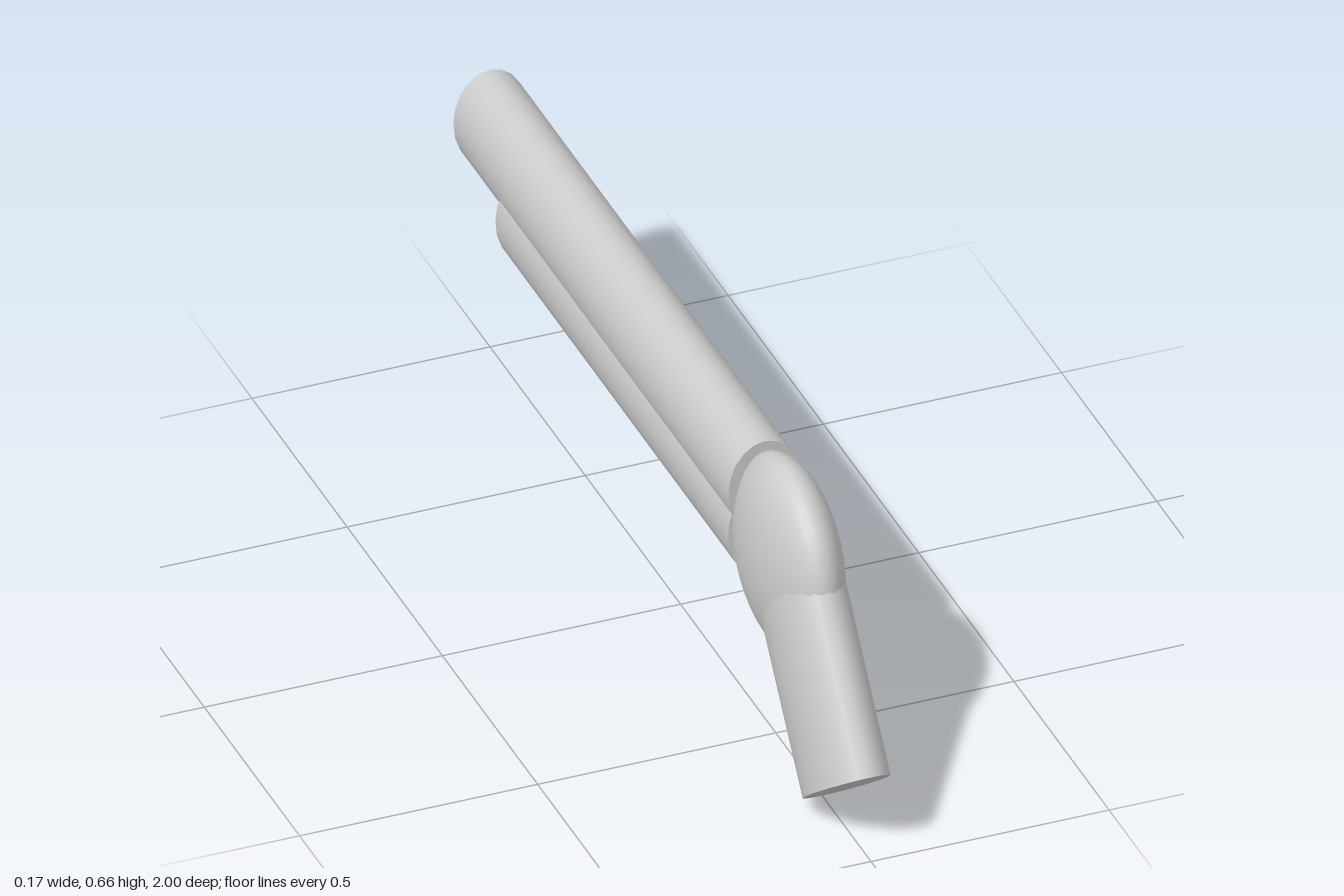
import * as THREE from 'three';

const material = new THREE.MeshStandardMaterial({ color: 0xcccccc });

// Elliptical rod running along a direction in the YZ plane.
// start and end are [y, z]; halfWidth is along x, halfDepth across the rod.
function rod(name, start, end, halfWidth, halfDepth) {
  const dy = end[0] - start[0], dz = end[1] - start[1];
  const geometry = new THREE.CylinderGeometry(1, 1, 1, 20);
  geometry.scale(halfWidth, Math.hypot(dy, dz), halfDepth);
  geometry.rotateX(Math.atan2(dz, dy));
  geometry.translate(0, (start[0] + end[0]) / 2, (start[1] + end[1]) / 2);
  const mesh = new THREE.Mesh(geometry, material);
  mesh.name = name;
  return mesh;
}

export function createModel() {
  const group = new THREE.Group();
  group.name = 'model';

  // Two overlapping parallel tubes, the upper one longer
  group.add(rod('upperTube', [0.537, 0.443], [0.537, -1], 0.077, 0.108));
  group.add(rod('lowerTube', [0.442, 0.441], [0.442, -0.78], 0.077, 0.108));

  // Slanted grip, its top buried in the joint
  group.add(rod('grip', [0.1, 0.872], [0.434, 0.618], 0.077, 0.161));

  // Flattened round joint between grip and tubes
  const joint = new THREE.Mesh(new THREE.SphereGeometry(0.21, 32, 24), material);
  joint.geometry.rotateZ(Math.PI / 2);
  joint.geometry.scale(0.085 / 0.21, 1, 1);
  joint.name = 'joint';
  joint.position.set(0, 0.455, 0.57);
  group.add(joint);

  return group;
}
